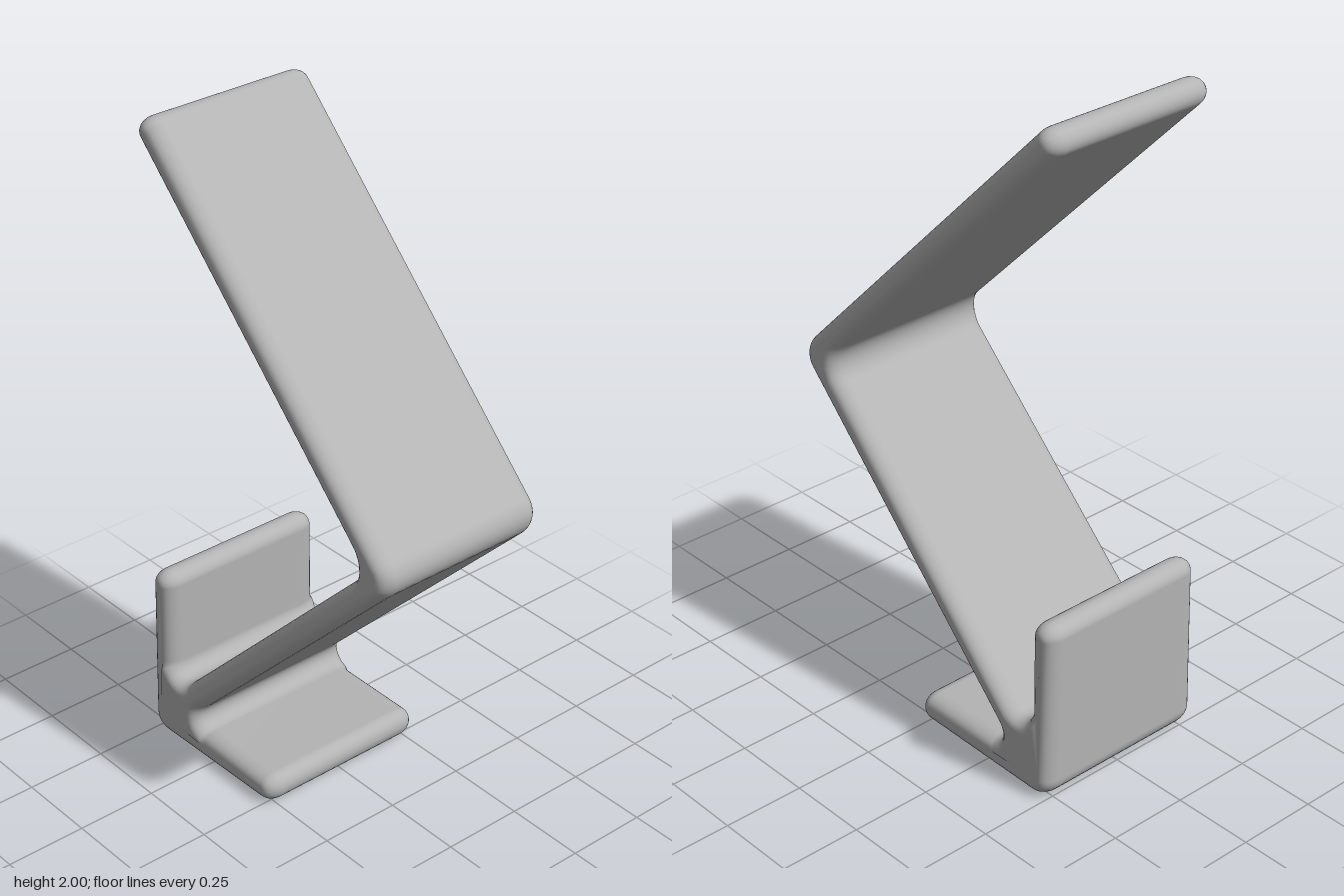
import * as THREE from 'three';
import { mergeVertices } from 'three/addons/utils/BufferGeometryUtils.js';

// Closed outline whose corners [x, y, radius] are replaced by true arcs
function filletedShape(corners, steps = 8) {
  const points = [];
  corners.forEach(([x, y, r], i) => {
    const n = corners.length;
    const p = new THREE.Vector2(x, y);
    const a = new THREE.Vector2(...corners[(i + n - 1) % n].slice(0, 2)).sub(p).normalize();
    const b = new THREE.Vector2(...corners[(i + 1) % n].slice(0, 2)).sub(p).normalize();
    const half = Math.acos(a.dot(b)) / 2;
    const centre = a.clone().add(b).normalize().multiplyScalar(r / Math.sin(half)).add(p);
    const start = a.multiplyScalar(r / Math.tan(half)).add(p).sub(centre);
    const end = b.multiplyScalar(r / Math.tan(half)).add(p).sub(centre);
    const sweep = Math.atan2(start.cross(end), start.dot(end));
    for (let k = 0; k <= steps; k++) {
      points.push(start.clone().rotateAround(new THREE.Vector2(), sweep * k / steps).add(centre));
    }
  });
  return new THREE.Shape(points);
}

export function createModel() {
  const group = new THREE.Group();
  group.name = 'foldedStand';
  const grey = new THREE.MeshStandardMaterial({ color: 0xb4b4b4 });
  grey.name = 'grey';

  // Side profile: foot, lower arm, elbow, upper arm, back lip
  const profile = filletedShape([
    [-0.515, 0, 0.06],
    [0.03, 0, 0.042],
    [0.03, 0.088, 0.042],
    [-0.377, 0.088, 0.043],
    [0.545, 1.01, 0.075],
    [-0.4615, 2.0165, 0.04],
    [-0.519, 1.959, 0.04],
    [0.429, 1.011, 0.08],
    [-0.432, 0.15, 0.045],
    [-0.432, 0.56, 0.041],
    [-0.515, 0.56, 0.041],
  ]);

  let geometry = new THREE.ExtrudeGeometry(profile, {
    depth: 0.462,
    bevelEnabled: true,
    bevelSize: 0.034,
    bevelOffset: -0.034,
    bevelThickness: 0.05,
    bevelSegments: 6,
  });
  geometry.translate(0, 0, -0.231);

  // Slight swelling where the three plates meet
  const pos = geometry.attributes.position;
  for (let i = 0; i < pos.count; i++) {
    if (pos.getX(i) < -0.28 && pos.getY(i) < 0.25) pos.setZ(i, pos.getZ(i) * 1.03);
  }

  // Weld and smooth the rounded surface
  geometry.deleteAttribute('normal');
  geometry.deleteAttribute('uv');
  geometry = mergeVertices(geometry, 1e-4);
  geometry.computeVertexNormals();

  const body = new THREE.Mesh(geometry, grey);
  body.name = 'bentPlateBody';
  group.add(body);
  return group;
}
